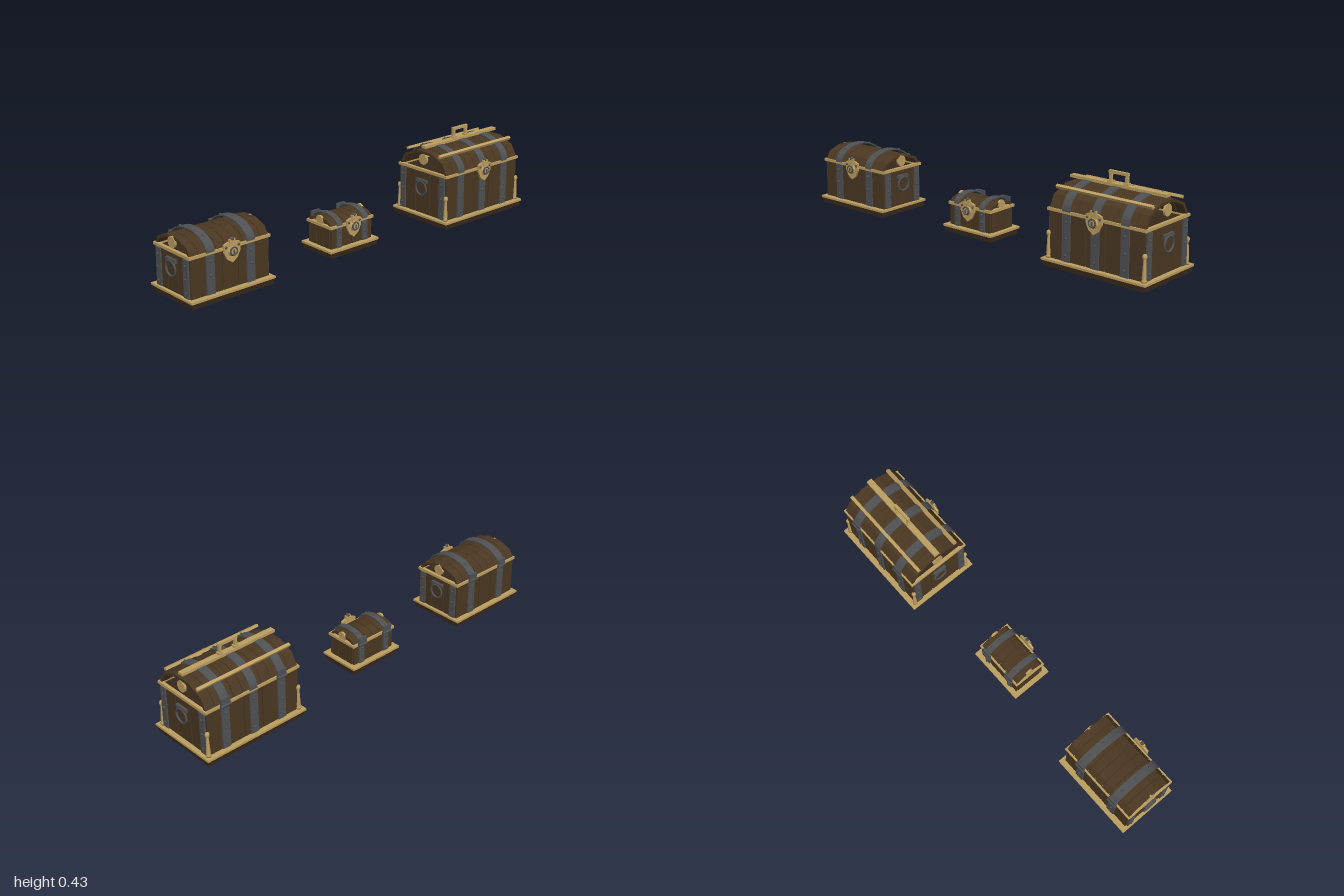
import * as THREE from 'three';

const mat = (name, color) => {
  const m = new THREE.MeshStandardMaterial({ color });
  m.name = name;
  return m;
};

export function createModel() {
  const wood = mat('wood', 0x4b3822);
  const darkWood = mat('dark wood', 0x36281a);
  const gold = mat('gold', 0xbd9f60);
  const iron = mat('iron', 0x505153);

  const add = (parent, name, geo, material, x = 0, y = 0, z = 0) => {
    const m = new THREE.Mesh(geo, material);
    m.name = name;
    m.position.set(x, y, z);
    parent.add(m);
    return m;
  };
  const box = (parent, name, material, w, h, d, x, y, z) =>
    add(parent, name, new THREE.BoxGeometry(w, h, d), material, x, y, z);
  const rivetGeo = new THREE.SphereGeometry(0.006, 10, 8);

  // Half-elliptic arch running over z, extruded along x and centred
  const archGeo = (a, b, thick, width, segments) => {
    const pts = [];
    for (let i = 0; i <= segments; i++) {
      const t = (Math.PI * i) / segments;
      pts.push(new THREE.Vector2(Math.cos(t) * a, Math.sin(t) * b));
    }
    for (let i = segments; i >= 0; i--) {
      const t = (Math.PI * i) / segments;
      pts.push(new THREE.Vector2(Math.cos(t) * (a - thick), Math.sin(t) * (b - thick)));
    }
    const g = new THREE.ExtrudeGeometry(new THREE.Shape(pts), { depth: width, bevelEnabled: false });
    return g.translate(0, 0, -width / 2).rotateY(Math.PI / 2);
  };

  // Rectangular frame of four bars
  const frame = (parent, name, hx, hz, h, bar, y) => {
    for (const s of [-1, 1]) {
      box(parent, name, gold, hx * 2, h, bar, 0, y, s * (hz - bar / 2));
      box(parent, name, gold, bar, h, (hz - bar) * 2, s * (hx - bar / 2), y, 0);
    }
  };

  // Shield-shaped lock plate with boss, keyhole and pin
  const addLock = (parent, y, z) => {
    const lock = new THREE.Group();
    lock.name = 'lock';
    lock.position.set(0, y, z);
    parent.add(lock);
    const s = new THREE.Shape([
      [-0.042, 0.032], [-0.042, -0.004], [-0.026, -0.036], [0, -0.054],
      [0.026, -0.036], [0.042, -0.004], [0.042, 0.032], [0.02, 0.04], [-0.02, 0.04],
    ].map(p => new THREE.Vector2(p[0], p[1])));
    add(lock, 'lockPlate', new THREE.ExtrudeGeometry(s, { depth: 0.01, bevelEnabled: false }), gold);
    box(lock, 'hasp', gold, 0.03, 0.06, 0.012, 0, 0.022, 0.008);
    add(lock, 'lockBoss', new THREE.CylinderGeometry(0.014, 0.026, 0.012, 8).rotateX(Math.PI / 2), gold, 0, 0, 0.016);
    add(lock, 'lockRing', new THREE.TorusGeometry(0.017, 0.004, 8, 20), iron, 0, 0, 0.02);
    box(lock, 'keyhole', iron, 0.007, 0.018, 0.004, 0, -0.002, 0.022);
    add(lock, 'lockPin', new THREE.SphereGeometry(0.009, 12, 8), iron, 0, 0.053, 0.008);
    for (const sx of [-1, 1]) add(lock, 'lockRivet', rivetGeo, iron, sx * 0.033, 0.02, 0.01);
  };

  const columnGeo = new THREE.LatheGeometry([
    [0, 0], [0.012, 0], [0.012, 0.008], [0.008, 0.012], [0.0105, 0.018], [0.006, 0.098],
    [0.009, 0.102], [0.011, 0.112], [0.008, 0.121], [0, 0.125],
  ].map(p => new THREE.Vector2(p[0], p[1])), 14);

  const makeChest = (o) => {
    const chest = new THREE.Group();
    chest.name = o.name;
    chest.position.set(o.x, 0, o.z);
    const { hx, hz, top, rise, straps, strapW } = o;
    const rimY = top + 0.006;
    const bodyH = top - 0.03;
    const midY = 0.03 + bodyH / 2;

    // Plinth and its trim
    box(chest, 'plinth', darkWood, o.bx * 2 - 0.012, 0.026, o.bz * 2 - 0.012, 0, 0.013, 0);
    box(chest, 'plinthTrim', gold, o.bx * 2, 0.01, o.bz * 2, 0, 0.03, 0);

    // Body core with plank cladding on all sides
    box(chest, 'bodyCore', darkWood, hx * 2 - 0.012, bodyH, hz * 2 - 0.012, 0, midY, 0);
    const pw = (hx * 2) / o.planks;
    for (let i = 0; i < o.planks; i++)
      for (const s of [-1, 1])
        box(chest, 'longPlank', wood, pw - 0.004, bodyH, 0.008, -hx + pw * (i + 0.5), midY, s * (hz - 0.004));
    const sw = (hz * 2 - 0.02) / 3;
    for (let i = -1; i <= 1; i++)
      for (const s of [-1, 1])
        box(chest, 'endPlank', wood, 0.008, bodyH, sw - 0.004, s * (hx - 0.004), midY, i * sw);
    frame(chest, 'rim', hx + 0.006, hz + 0.006, 0.013, 0.016, rimY);

    // Arched lid staves, open at both ends
    const lidY = rimY + 0.004;
    const lw = (hx * 2) / o.staves;
    const stave = archGeo(hz, rise, 0.014, lw - 0.003, 5);
    for (let i = 0; i < o.staves; i++) add(chest, 'lidStave', stave, wood, -hx + lw * (i + 0.5), lidY, 0);

    // Iron straps over the body and lid, with rivets
    const strapArch = archGeo(hz + 0.008, rise + 0.015, 0.006, strapW, 28);
    for (const x of straps) {
      add(chest, 'lidStrap', strapArch, iron, x, lidY, 0);
      for (const t of [0.29, 0.5, 0.71])
        add(chest, 'lidRivet', rivetGeo, iron, x,
          lidY + Math.sin(t * Math.PI) * (rise + 0.015), Math.cos(t * Math.PI) * (hz + 0.008));
      for (const s of [-1, 1]) {
        box(chest, 'bodyStrap', iron, strapW, bodyH, 0.008, x, midY, s * (hz + 0.002));
        for (const f of [0.16, 0.5, 0.84])
          add(chest, 'strapRivet', rivetGeo, iron, x, 0.03 + bodyH * f, s * (hz + 0.007));
      }
    }

    // Rear hinges
    for (const x of o.hinges) {
      box(chest, 'hingePlate', iron, 0.048, 0.042, 0.009, x, rimY + 0.014, -hz - 0.009);
      add(chest, 'hingeBarrel', new THREE.CylinderGeometry(0.007, 0.007, 0.052, 10).rotateZ(Math.PI / 2),
        iron, x, rimY, -hz - 0.012);
    }

    for (const s of [-1, 1]) {
      // Round medallion at each lid end
      add(chest, 'lidMedallion', new THREE.CylinderGeometry(o.disc, o.disc, 0.01, 28).rotateZ(Math.PI / 2),
        gold, s * (hx - 0.003), lidY + rise * 0.54, 0);
      if (!o.fittings) continue;
      // Corner straps on the ends
      for (const c of [-1, 1]) {
        box(chest, 'cornerStrap', iron, 0.008, bodyH - 0.012, 0.034, s * (hx + 0.002), midY, c * (hz - 0.026));
        for (const f of [0.16, 0.5, 0.82])
          add(chest, 'cornerRivet', rivetGeo, iron, s * (hx + 0.006), 0.03 + bodyH * f, c * (hz - 0.026));
      }
      // Ring handles
      const ringY = 0.03 + bodyH * 0.62;
      box(chest, 'handlePlate', iron, 0.014, 0.016, 0.07, s * (hx + 0.006), ringY + 0.037, 0);
      add(chest, 'handleRing', new THREE.TorusGeometry(0.034, 0.005, 10, 32).rotateY(Math.PI / 2),
        iron, s * (hx + 0.011), ringY, 0);
    }
    addLock(chest, rimY - 0.011, hz + 0.008);
    return chest;
  };

  const model = new THREE.Group();
  model.name = 'treasureChests';

  const medium = makeChest({
    name: 'mediumChest', x: -0.78, z: -0.011, bx: 0.22, bz: 0.15, hx: 0.205, hz: 0.124, top: 0.213, rise: 0.062,
    planks: 5, staves: 9, straps: [-0.105, 0.105], strapW: 0.042, hinges: [-0.105, 0.105], disc: 0.026, fittings: true,
  });
  const small = makeChest({
    name: 'smallChest', x: -0.055, z: -0.012, bx: 0.147, bz: 0.103, hx: 0.125, hz: 0.078, top: 0.132, rise: 0.03,
    planks: 4, staves: 6, straps: [-0.078, 0.078], strapW: 0.03, hinges: [-0.078, 0.078], disc: 0.022, fittings: false,
  });
  const large = makeChest({
    name: 'largeChest', x: 0.727, z: -0.009, bx: 0.273, bz: 0.183, hx: 0.25, hz: 0.157, top: 0.249, rise: 0.094,
    planks: 5, staves: 10, straps: [-0.153, 0, 0.153], strapW: 0.042, hinges: [-0.153, 0.153], disc: 0.027, fittings: true,
  });
  model.add(medium, small, large);

  // Gold rails along the large lid
  for (const s of [-1, 0, 1]) {
    const rail = box(large, 'lidRail', gold, 0.5, 0.013, s ? 0.015 : 0.028, 0, s ? 0.344 : 0.371, s * 0.107);
    rail.rotation.x = s * 0.45;
  }
  // Carrying handle on top
  box(large, 'handleBar', gold, 0.1, 0.013, 0.014, 0, 0.424, 0);
  for (const s of [-1, 1]) {
    box(large, 'handlePost', gold, 0.012, 0.045, 0.014, s * 0.042, 0.398, 0);
    box(large, 'handleFoot', gold, 0.024, 0.01, 0.022, s * 0.042, 0.382, 0);
    // Turned columns at the four corners
    for (const c of [-1, 1]) add(large, 'cornerColumn', columnGeo, gold, s * 0.25, 0.035, c * 0.157);
  }
  return model;
}
